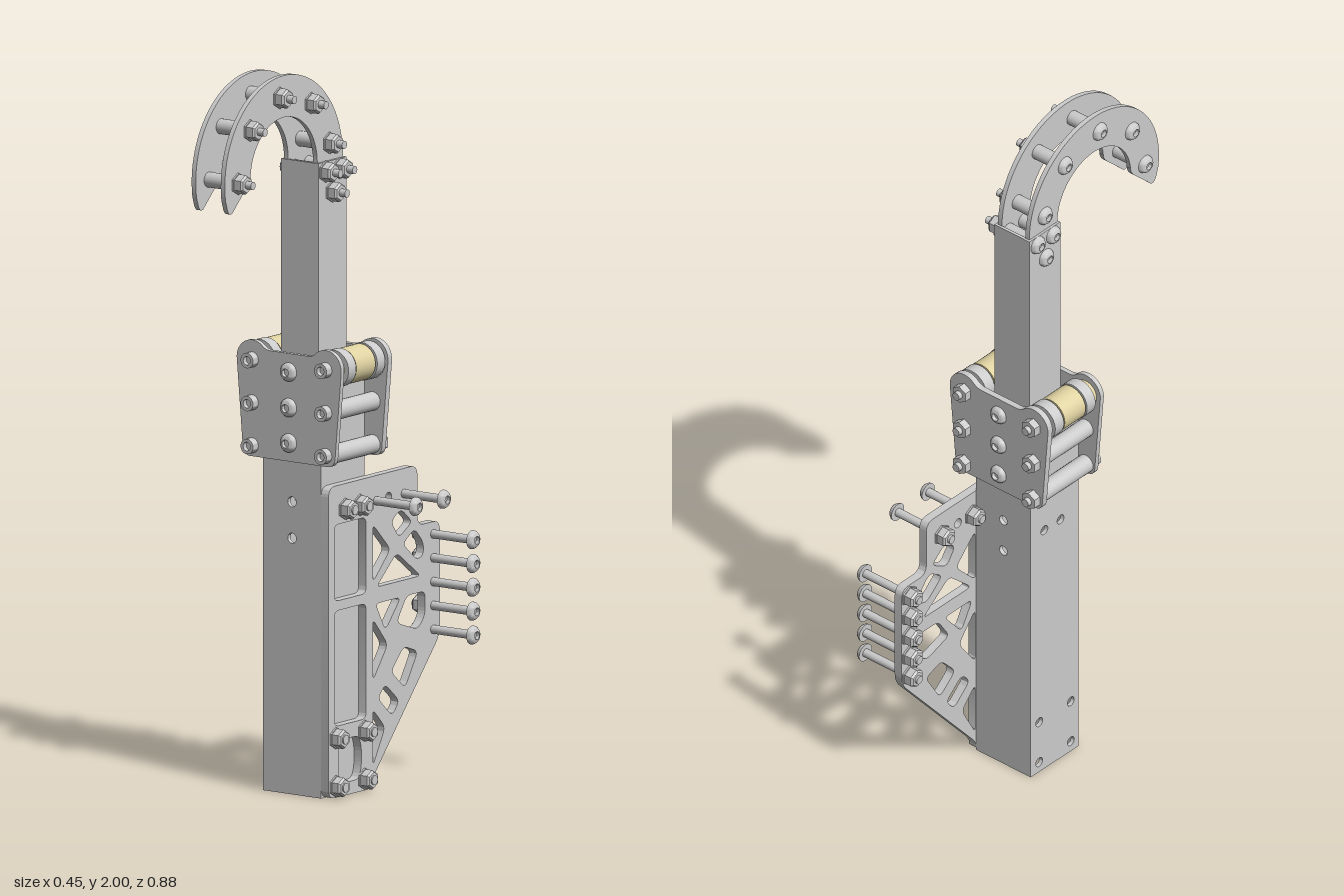
import * as THREE from 'three';
import { toCreasedNormals } from 'three/addons/utils/BufferGeometryUtils.js';

const CX = -0.046, CZ = -0.032; // shared axis of both tubes

export function createModel() {
  const model = new THREE.Group();
  const grey = new THREE.MeshStandardMaterial({ color: 0xcccccc });
  const tan = new THREE.MeshStandardMaterial({ color: 0xe0d3a2 });

  function add(name, geo, mat = grey, parent = model) {
    const m = new THREE.Mesh(geo, mat);
    m.name = name;
    parent.add(m);
    return m;
  }
  // turn a piece that points along +z to point along an axis, starting at 'at'
  function place(m, axis, dir, at, y, other) {
    if (axis === 'x') { m.rotation.y = dir * Math.PI / 2; m.position.set(at, y, other); }
    else { m.rotation.y = dir > 0 ? 0 : Math.PI; m.position.set(other, y, at); }
    return m;
  }
  function rod(name, r, a, b, axis, y, other, mat = grey, sides = 24) {
    const g = new THREE.CylinderGeometry(r, r, b - a, sides).rotateX(Math.PI / 2).translate(0, 0, (b - a) / 2);
    return place(add(name, sides === 6 ? toCreasedNormals(g, 0.5) : g, mat), axis, 1, a, y, other);
  }
  // turned part; profile runs from the base outwards
  const turned = (pts, seg = 24) => toCreasedNormals(
    new THREE.LatheGeometry(pts.map(p => new THREE.Vector2(...p)), seg).rotateX(Math.PI / 2), 0.6);
  const domeGeo = turned([[0, 0], [0.026, 0], [0.025, 0.006], [0.02, 0.013], [0.013, 0.017], [0.011, 0.017], [0.011, 0.006], [0, 0.006]]);
  const nutGeo = turned([[0, 0], [0.03, 0], [0.03, 0.005], [0.027, 0.005], [0.027, 0.026], [0.022, 0.032], [0, 0.032]], 6);
  const dome = (axis, dir, at, y, o) => place(add('boltHead', domeGeo), axis, dir, at, y, o);
  const nut = (axis, dir, at, y, o) => place(add('nut', nutGeo), axis, dir, at, y, o);

  // polygon with rounded corners
  function rounded(pts, r, Type = THREE.Path) {
    const s = new Type(), v = pts.map(p => new THREE.Vector2(...p)), n = v.length;
    v.forEach((p, i) => {
      const toward = q => p.clone().add(q.clone().sub(p).setLength(Math.min(r, q.distanceTo(p) * 0.45)));
      const a = toward(v[(i + n - 1) % n]), b = toward(v[(i + 1) % n]);
      if (i) s.lineTo(a.x, a.y); else s.moveTo(a.x, a.y);
      s.quadraticCurveTo(p.x, p.y, b.x, b.y);
    });
    s.closePath();
    return s;
  }
  const box = (a, b, c, d) => [[a, c], [b, c], [b, d], [a, d]];
  const circle = (x, y, r) => new THREE.Path().absarc(x, y, r, 0, Math.PI * 2, true);
  const slab = (shape, depth) => toCreasedNormals(
    new THREE.ExtrudeGeometry(shape, { depth, bevelEnabled: false, curveSegments: 24 }), 0.5);
  // plate drawn in (z, y), filling x0..x1
  function sidePlate(name, shape, x0, x1) {
    const m = add(name, slab(shape, x1 - x0));
    m.rotation.y = -Math.PI / 2;
    m.position.x = x1;
  }
  // plate drawn in (x, y), filling z0..z1
  function facePlate(name, shape, z0, z1) {
    add(name, slab(shape, z1 - z0)).position.z = z0;
  }

  // square tube from four walls, with drilled holes
  function tube(name, half, wall, y0, y1, faceHoles, sideHoles) {
    const drilled = (a, b, holes) => {
      const s = new THREE.Shape(box(a, b, y0, y1).map(p => new THREE.Vector2(...p)));
      s.holes = holes.map(([u, y]) => circle(u, y, 0.014));
      return s;
    };
    for (const s of [-1, 1]) {
      const o = s * (half - wall / 2);
      facePlate(name + 'Face', drilled(CX - half, CX + half, faceHoles), CZ + o - wall / 2, CZ + o + wall / 2);
      sidePlate(name + 'Side', drilled(CZ - half + wall, CZ + half - wall, sideHoles), CX + o - wall / 2, CX + o + wall / 2);
    }
  }
  const baseBolts = [[-0.008, 0.788], [-0.074, 0.788], [0.034, 0.164], [-0.095, 0.164], [0.034, 0.032], [-0.095, 0.032]];
  tube('lowerTube', 0.098, 0.012, 0, 1.12, [[CX, 0.804], [CX, 0.704]], baseBolts);
  tube('upperTube', 0.063, 0.009, 0.85, 1.735, [], []);

  // hook: two cheeks joined by spacers
  const hook = new THREE.Shape();
  const hz = 0.177, hy = 1.735;
  hook.moveTo(-0.088, 1.61);
  hook.lineTo(-0.088, hy);
  hook.absarc(hz, hy, 0.265, Math.PI, -0.15, true);
  hook.lineTo(0.43, 1.668);
  hook.quadraticCurveTo(0.418, 1.645, 0.402, 1.663);
  hook.lineTo(0.34, 1.722);
  hook.quadraticCurveTo(0.327, 1.735, 0.326, 1.75);
  hook.absarc(hz, hy, 0.15, 0.1, Math.PI, false);
  hook.lineTo(0.027, 1.61);
  hook.closePath();
  sidePlate('hookCheekRight', hook, -0.102, -0.088);
  sidePlate('hookCheekLeft', hook, -0.004, 0.01);
  const hookBolts = [[0.384, 1.735], [0.33, 1.873], [0.198, 1.942], [0.056, 1.905], [-0.026, 1.783],
    [0, 1.709], [-0.063, 1.709], [-0.029, 1.65]];
  hookBolts.forEach(([z, y], i) => {
    const skin = i > 4 ? 0.007 : 0; // the last three also clamp the tube
    rod('hookSpacer', 0.021, -0.088, -0.004, 'x', y, z);
    rod('hookBolt', 0.011, -0.1, 0.062 + skin, 'x', y, z);
    dome('x', -1, -0.102 - skin, y, z);
    nut('x', 1, 0.01 + skin, y, z);
  });

  // guide block: two face plates with ears
  const earY = 1.185, earX = 0.124;
  const guide = new THREE.Shape();
  guide.moveTo(CX - 0.13, 0.917);
  guide.lineTo(CX + 0.13, 0.917);
  guide.quadraticCurveTo(CX + 0.154, 0.917, CX + 0.156, 0.945);
  guide.lineTo(CX + earX + 0.052, earY - 0.01);
  guide.absarc(CX + earX, earY, 0.052, 0, 2.3, false);
  guide.quadraticCurveTo(CX + 0.08, 1.214, CX + 0.06, 1.214);
  guide.lineTo(CX - 0.06, 1.214);
  guide.quadraticCurveTo(CX - 0.08, 1.214, CX - earX + 0.035, 1.224);
  guide.absarc(CX - earX, earY, 0.052, Math.PI - 2.3, Math.PI, false);
  guide.lineTo(CX - 0.156, 0.945);
  guide.quadraticCurveTo(CX - 0.154, 0.917, CX - 0.13, 0.917);
  facePlate('guidePlateFront', guide, 0.066, 0.08);
  facePlate('guidePlateBack', guide, -0.148, -0.13);
  for (const y of [1.163, 1.065, 0.968]) {
    dome('z', 1, 0.08, y, CX);
    dome('z', -1, -0.148, y, CX);
  }
  const headGeo = turned([[0, 0], [0.021, 0], [0.021, 0.024], [0.012, 0.024], [0.012, 0.01], [0, 0.01]]);
  for (const s of [-1, 1]) {
    const x = CX + s * earX;
    for (const y of [1.183, 1.065, 0.947]) {
      rod('guideBolt', 0.012, -0.183, 0.08, 'z', y, x);
      place(add('guideBoltHead', headGeo), 'z', 1, 0.08, y, x);
      rod('guideNut', 0.026, -0.17, -0.148, 'z', y, x, grey, 6);
      if (y < 1.1) rod('guideSpacer', 0.026, -0.13, 0.066, 'z', y, x);
    }
    // roller with a bearing on each side
    rod('roller', 0.05, -0.077, 0.008, 'z', 1.181, x, tan, 40);
    rod('rollerCore', 0.038, -0.13, 0.066, 'z', 1.181, x, tan, 40);
    rod('bearingBack', 0.052, -0.118, -0.083, 'z', 1.181, x, grey, 40);
    rod('bearingFront', 0.052, 0.012, 0.046, 'z', 1.181, x, grey, 40);
  }

  // truss bracket on the left side
  const bracket = rounded([[0.066, 0], [0.066, 0.857], [-0.333, 0.857], [-0.333, 0.69], [-0.434, 0.69],
    [-0.434, 0.375], [-0.13, 0.025], [-0.13, 0]], 0.03, THREE.Shape);
  const windows = [
    [[-0.133, 0.725], [-0.212, 0.645], [-0.133, 0.565]],
    [[-0.215, 0.72], [-0.258, 0.748], [-0.31, 0.705], [-0.25, 0.67]],
    [[-0.268, 0.65], [-0.32, 0.684], [-0.36, 0.64], [-0.36, 0.605], [-0.33, 0.597]],
    [[-0.15, 0.55], [-0.24, 0.63], [-0.348, 0.55]],
    [[-0.145, 0.505], [-0.258, 0.505], [-0.19, 0.425]],
    [[-0.285, 0.505], [-0.368, 0.505], [-0.368, 0.44], [-0.335, 0.405], [-0.24, 0.437]],
    [[-0.133, 0.465], [-0.2, 0.385], [-0.133, 0.295]],
    [[-0.215, 0.307], [-0.272, 0.368], [-0.335, 0.345], [-0.278, 0.253]],
    [[-0.188, 0.277], [-0.252, 0.222], [-0.22, 0.185], [-0.156, 0.243]],
    [[-0.133, 0.217], [-0.188, 0.159], [-0.133, 0.06]],
    box(0.04, -0.103, 0.54, 0.75), box(0.04, -0.103, 0.196, 0.513),
    [[0.01, 0.155], [-0.07, 0.155], [-0.082, 0.12], [-0.082, 0.07], [-0.07, 0.035], [0.01, 0.035], [0.022, 0.07], [0.022, 0.12]],
  ];
  bracket.holes = windows.map(w => rounded(w, 0.02));
  bracket.holes.push(circle(-0.204, 0.788, 0.014));
  sidePlate('trussBracket', bracket, 0.052, 0.077);
  for (const [z, y] of baseBolts) {
    rod('bracketBolt', 0.013, 0.03, 0.113, 'x', y, z);
    dome('x', -1, 0.04, y, z);
    nut('x', 1, 0.077, y, z);
  }
  // long screws pointing out from the bracket
  const screws = [[-0.147, 0.788], [-0.272, 0.788]];
  for (let i = 0; i < 5; i++) screws.push([-0.404, 0.656 - i * 0.0655]);
  for (const [z, y] of screws) {
    rod('longScrew', 0.012, 0.013, 0.212, 'x', y, z);
    dome('x', 1, 0.208, y, z);
    nut('x', -1, 0.052, y, z);
  }
  return model;
}
